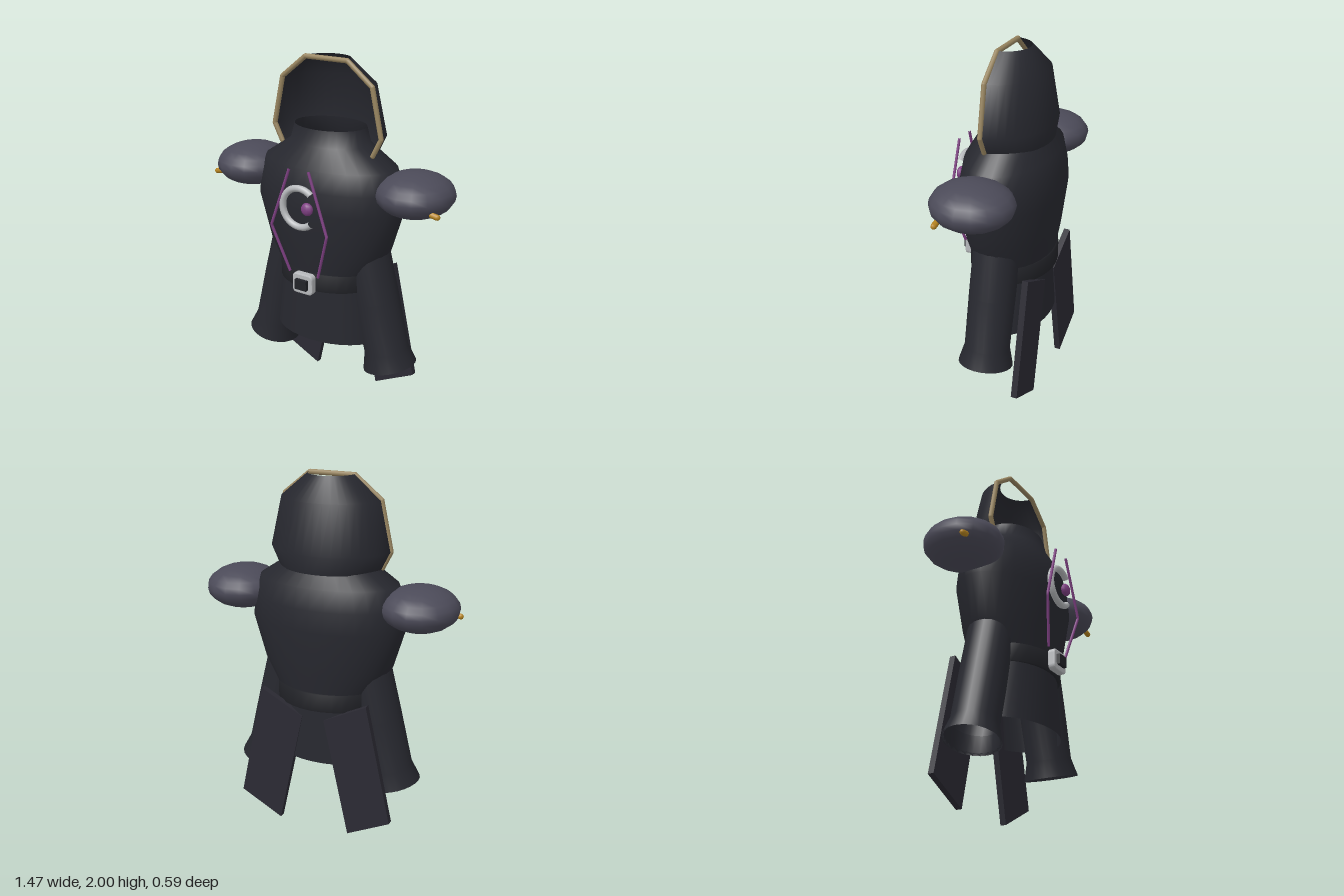
import * as THREE from 'three';

const mat = (name, color, side = THREE.FrontSide) => {
  const m = new THREE.MeshStandardMaterial({ color, side });
  m.name = name;
  return m;
};

// Surface through elliptical rings [y, halfWidth, halfDepth], listed top to bottom
function loft(rings, cz, from, to, n) {
  const closed = to - from > 6.28;
  const cols = closed ? n : n + 1;
  const pos = [], idx = [];
  for (const [y, w, d] of rings)
    for (let j = 0; j < cols; j++) {
      const a = from + ((to - from) * j) / n;
      pos.push(w * Math.sin(a), y, cz + d * Math.cos(a));
    }
  for (let i = 0; i < rings.length - 1; i++)
    for (let j = 0; j < n; j++) {
      const a = i * cols + j, b = i * cols + ((j + 1) % cols);
      idx.push(a, a + cols, b, b, a + cols, b + cols);
    }
  const g = new THREE.BufferGeometry();
  g.setAttribute('position', new THREE.Float32BufferAttribute(pos, 3));
  g.setIndex(idx);
  g.computeVertexNormals();
  return g;
}

// Tube along straight segments
function polyTube(points, r) {
  const path = new THREE.CurvePath();
  for (let i = 0; i < points.length - 1; i++)
    path.add(new THREE.LineCurve3(new THREE.Vector3(...points[i]), new THREE.Vector3(...points[i + 1])));
  return new THREE.TubeGeometry(path, 40, r, 8, false);
}

function roundedRect(P, w, h, r) {
  const s = new P();
  s.moveTo(-w + r, -h);
  s.lineTo(w - r, -h); s.quadraticCurveTo(w, -h, w, -h + r);
  s.lineTo(w, h - r); s.quadraticCurveTo(w, h, w - r, h);
  s.lineTo(-w + r, h); s.quadraticCurveTo(-w, h, -w, h - r);
  s.lineTo(-w, -h + r); s.quadraticCurveTo(-w, -h, -w + r, -h);
  return s;
}

export function createModel() {
  const root = new THREE.Group();
  const cloth = mat('dark cloth', 0x27282f, THREE.DoubleSide);
  const tailCloth = mat('tail cloth', 0x2b2a33);
  const leather = mat('belt leather', 0x222328, THREE.DoubleSide);
  const plate = mat('shoulder plate', 0x4b4a58);
  const trim = mat('pale gold trim', 0x988560);
  const gold = mat('gold', 0xb5831f);
  const silver = mat('silver', 0xb6b8bb);
  const purple = mat('purple', 0x7f4083);

  const add = (name, geo, material, x = 0, y = 0, z = 0) => {
    const m = new THREE.Mesh(geo, material);
    m.name = name;
    m.position.set(x, y, z);
    root.add(m);
    return m;
  };
  const FULL = Math.PI * 2, CZ = -0.03;

  // Robe body, collar to waist, and skirt
  add('robeBody', loft([
    [1.63, 0.21, 0.155], [1.54, 0.235, 0.175], [1.43, 0.4, 0.235], [1.32, 0.435, 0.255],
    [1.2, 0.447, 0.265], [0.96, 0.375, 0.24], [0.8, 0.285, 0.22],
  ], CZ, 0, FULL, 32), cloth);
  add('skirt', loft([[0.8, 0.285, 0.215], [0.42, 0.333, 0.222]], CZ, 0, FULL, 32), cloth);

  // Belt and buckle
  add('belt', loft([
    [0.84, 0.28, 0.215], [0.84, 0.3, 0.238], [0.74, 0.3, 0.238], [0.74, 0.28, 0.215],
  ], CZ, 0, FULL, 32), leather);
  const frame = roundedRect(THREE.Shape, 0.058, 0.052, 0.02);
  frame.holes.push(roundedRect(THREE.Path, 0.042, 0.033, 0.008));
  add('buckleFrame', new THREE.ExtrudeGeometry(frame, {
    depth: 0.028, bevelEnabled: true, bevelSize: 0.007, bevelThickness: 0.007, bevelSegments: 2,
  }), silver, 0, 0.79, 0.222);
  add('buckleCentre', new THREE.BoxGeometry(0.075, 0.058, 0.065), leather, 0, 0.79, 0.243);

  // Hood: open at the front and crown
  add('hood', loft([
    [1.99, 0.13, 0.125], [1.865, 0.28, 0.22], [1.6, 0.34, 0.262], [1.5, 0.29, 0.25],
  ], 0.012, Math.PI / 2, Math.PI * 1.5, 20), cloth);
  const edge = [[0.29, 1.505], [0.338, 1.6], [0.28, 1.865], [0.13, 1.985]];
  const rim = [...edge, ...edge.map(([x, y]) => [-x, y]).reverse()].map(([x, y]) => [x, y, 0.015]);
  for (let i = 0; i < rim.length - 1; i++)
    add('hoodTrim', polyTube([rim[i], rim[i + 1]], 0.014), trim);
  for (const p of rim) add('hoodTrimJoint', new THREE.SphereGeometry(0.014, 8, 6), trim, ...p);

  // Crescent emblem with gem
  const gap = 0.85;
  const crescent = add('crescent', new THREE.TorusGeometry(0.108, 0.019, 8, 32, FULL - 2 * gap), silver, -0.003, 1.238, 0.268);
  crescent.rotation.z = gap;
  add('gem', new THREE.SphereGeometry(0.036, 10, 8), purple, 0.05, 1.242, 0.275).scale.z = 0.65;

  // Sleeve profile [radius, height], with an inner lip at the cuff
  const sleeveProfile = [
    [0.126, 0.1], [0.14, 0.012], [0.153, 0], [0.127, 0.1], [0.13, 0.4], [0.13, 0.7], [0.13, 1.04],
  ].map(([r, y]) => new THREE.Vector2(r, y));

  for (const s of [1, -1]) {
    const sleeve = add('sleeve', new THREE.LatheGeometry(sleeveProfile, 24), cloth, s * 0.405, 0.28, CZ);
    sleeve.rotation.z = s * 0.245;

    // Shoulder plate and its stud
    add('shoulderPlate', new THREE.SphereGeometry(1, 16, 12), plate, s * 0.525, 1.33, CZ).scale.set(0.21, 0.12, 0.222);
    const stud = add('shoulderStud', new THREE.CapsuleGeometry(0.016, 0.03, 3, 8), gold, s * 0.695, 1.277, 0.088);
    stud.rotation.z = s * (Math.PI / 2 - 0.2);

    // Slanted coat tail
    const tail = new THREE.Shape([[0.213, 0.003], [0.463, 0.13], [0.315, 0.81], [0.065, 0.683]]
      .map(([x, y]) => new THREE.Vector2(s * x, y)));
    add('coatTail', new THREE.ExtrudeGeometry(tail, { depth: 0.035, bevelEnabled: false }), tailCloth, 0, 0, -0.245);

    // Purple piping on the chest
    add('chestPiping', polyTube([
      [s * 0.06, 1.45, 0.275], [s * 0.178, 1.115, 0.283], [s * 0.092, 0.845, 0.238],
    ], 0.008), purple);
  }
  return root;
}
